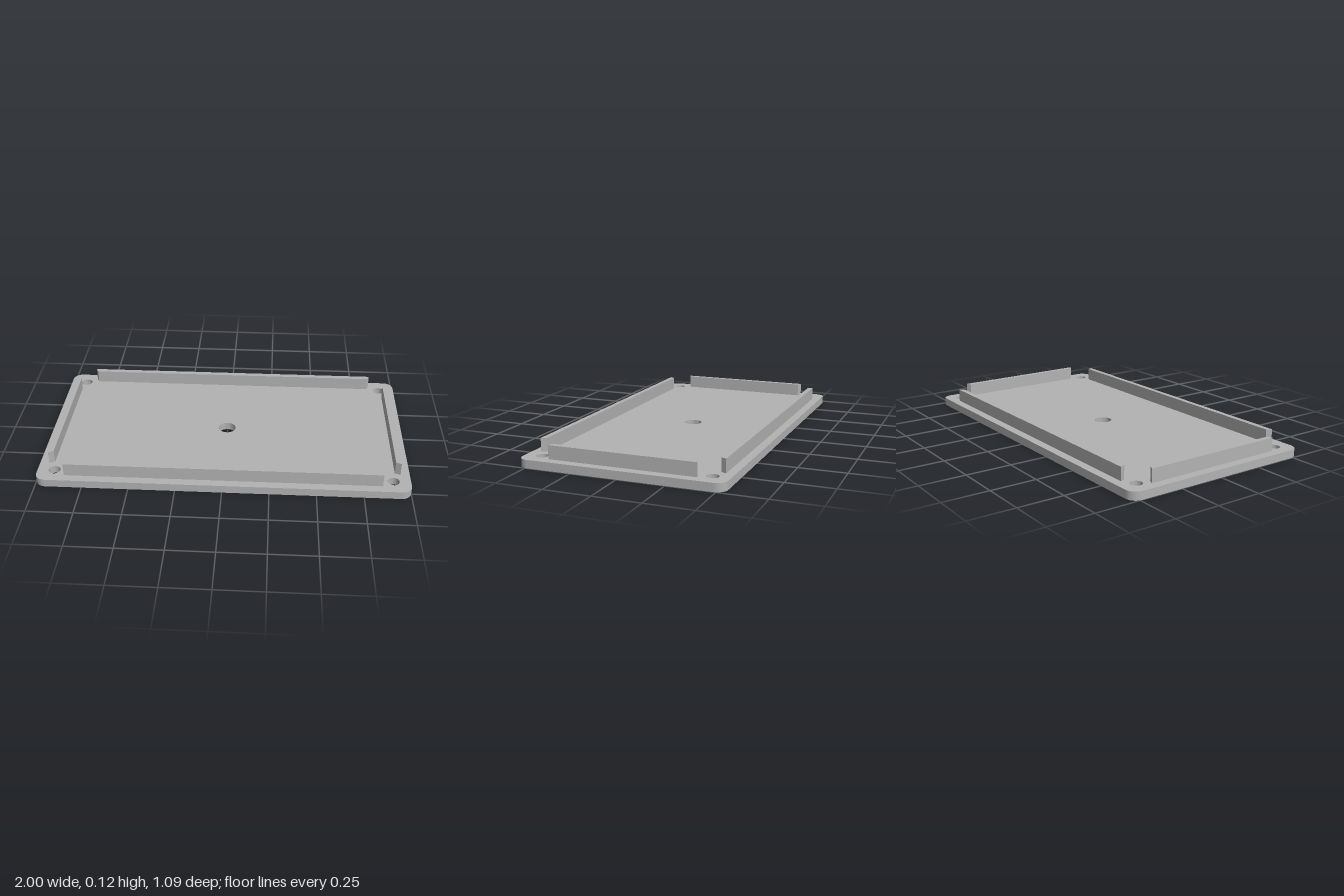
import * as THREE from 'three';
import { toCreasedNormals } from 'three/addons/utils/BufferGeometryUtils.js';

const HALF_X = 1, HALF_Z = 0.543, CORNER = 0.055;
const PLATE_TOP = 0.044, WALL_TOP = 0.116;

// Extrude a plan outline upwards from y = bottom to y = top
function slab(shape, bottom, top) {
  const geometry = new THREE.ExtrudeGeometry(shape, { depth: top - bottom, bevelEnabled: false, curveSegments: 16 });
  geometry.rotateX(-Math.PI / 2);
  geometry.translate(0, bottom, 0);
  return toCreasedNormals(geometry, 0.6);
}

function circleHole(x, y, radius) {
  const hole = new THREE.Path();
  hole.absarc(x, y, radius, 0, Math.PI * 2, true);
  return hole;
}

// Rounded rectangle with a centre hole and four screw holes
function plateShape() {
  const x = HALF_X - CORNER, y = HALF_Z - CORNER;
  const shape = new THREE.Shape();
  shape.absarc(x, y, CORNER, 0, Math.PI / 2);
  shape.absarc(-x, y, CORNER, Math.PI / 2, Math.PI);
  shape.absarc(-x, -y, CORNER, Math.PI, Math.PI * 1.5);
  shape.absarc(x, -y, CORNER, Math.PI * 1.5, Math.PI * 2);
  shape.closePath();
  shape.holes.push(circleHole(0, 0, 0.048));
  for (const sx of [-1, 1]) for (const sy of [-1, 1]) shape.holes.push(circleHole(sx * 0.908, sy * 0.453, 0.032));
  return shape;
}

// Lip with mitred ends, its longer face towards +z
function lipGeometry(halfOuter, halfInner, inner, outer) {
  const shape = new THREE.Shape([
    new THREE.Vector2(-halfOuter, -outer),
    new THREE.Vector2(halfOuter, -outer),
    new THREE.Vector2(halfInner, -inner),
    new THREE.Vector2(-halfInner, -inner),
  ]);
  return slab(shape, PLATE_TOP, WALL_TOP);
}

export function createModel() {
  const model = new THREE.Group();
  model.name = 'enclosureLid';
  const grey = new THREE.MeshStandardMaterial({ color: 0xb2b2b2 });
  grey.name = 'light grey';

  function add(name, geometry, turn = 0) {
    const mesh = new THREE.Mesh(geometry, grey);
    mesh.name = name;
    mesh.rotation.y = turn;
    model.add(mesh);
  }

  add('basePlate', slab(plateShape(), 0, PLATE_TOP));

  // Four upright lips, open at the corners
  const longLip = lipGeometry(0.848, 0.834, 0.468, 0.497);
  const shortLip = lipGeometry(0.394, 0.381, 0.921, 0.95);
  add('frontLip', longLip);
  add('backLip', longLip, Math.PI);
  add('leftLip', shortLip, Math.PI / 2);
  add('rightLip', shortLip, -Math.PI / 2);
  return model;
}
